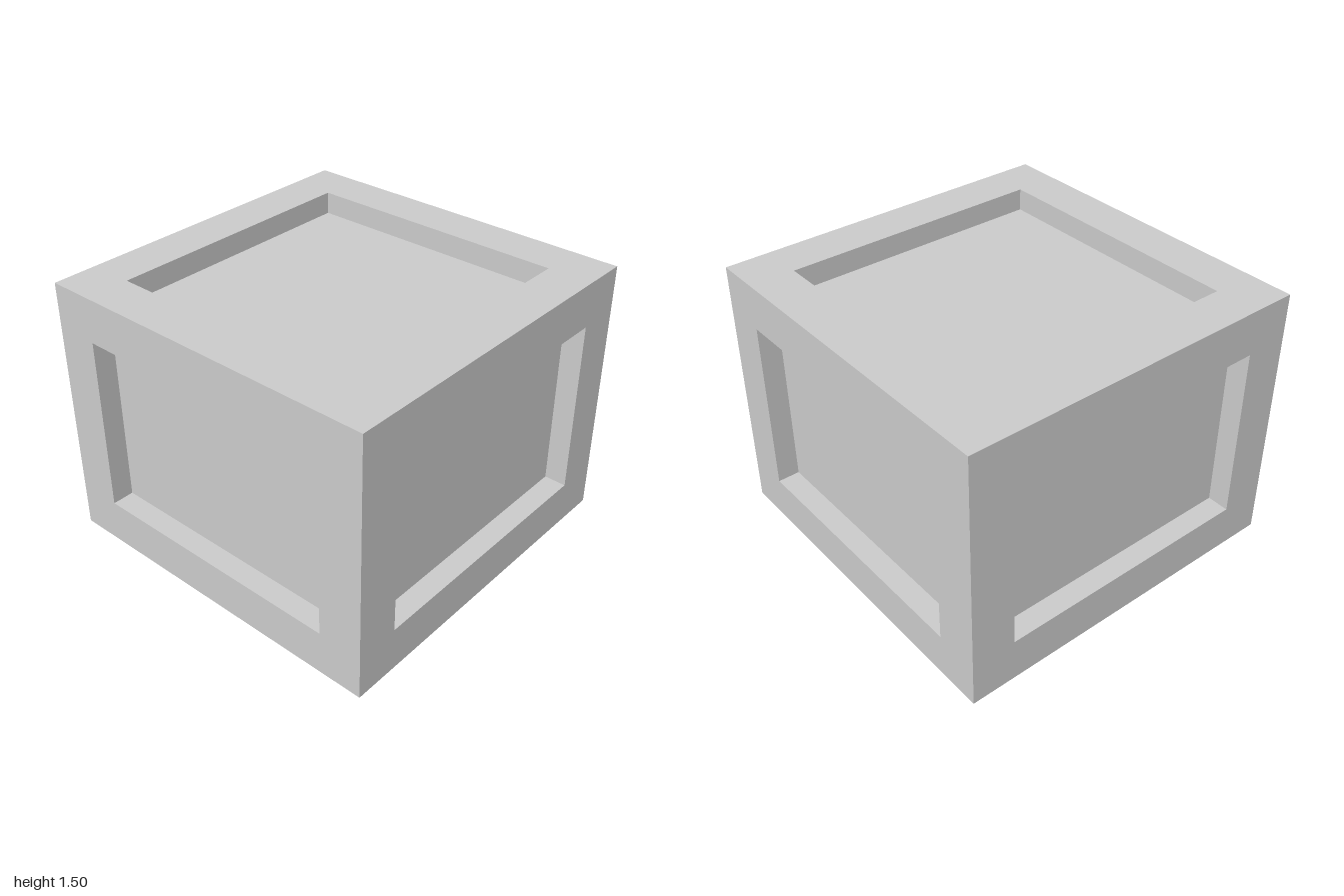
import * as THREE from 'three';
import { mergeGeometries } from 'three/addons/utils/BufferGeometryUtils.js';

const SIZE = 2, HEIGHT = 1.5, BORDER = 0.25, DEPTH = 0.125;
const material = new THREE.MeshStandardMaterial({ color: 0xcccccc, flatShading: true });

function rectangle(path, w, h) {
  return path.setFromPoints([[-1, -1], [1, -1], [1, 1], [-1, 1]]
    .map(([x, y]) => new THREE.Vector2(x * w / 2, y * h / 2)));
}

// One crate side facing +z: flat frame, four recess walls and a sunken panel
function createSide(name, w, h) {
  const side = new THREE.Group();
  side.name = name;
  const iw = w - 2 * BORDER, ih = h - 2 * BORDER;

  const outline = rectangle(new THREE.Shape(), w, h);
  outline.holes.push(rectangle(new THREE.Path(), iw, ih));
  const parts = [new THREE.ShapeGeometry(outline)];
  for (let i = 0; i < 4; i++) {
    const [length, across] = i % 2 ? [ih, iw] : [iw, ih];
    parts.push(new THREE.PlaneGeometry(length, DEPTH)
      .rotateX(-Math.PI / 2)
      .translate(0, -across / 2, -DEPTH / 2)
      .rotateZ(i * Math.PI / 2));
  }
  const frame = new THREE.Mesh(mergeGeometries(parts), material);
  frame.name = name + 'Frame';

  const panel = new THREE.Mesh(new THREE.PlaneGeometry(iw, ih), material);
  panel.name = name + 'Panel';
  panel.position.z = -DEPTH;

  side.add(frame, panel);
  return side;
}

export function createModel() {
  const crate = new THREE.Group();
  crate.name = 'crate';

  // Four upright sides
  ['front', 'left', 'back', 'right'].forEach((name, i) => {
    const side = createSide(name, SIZE, HEIGHT);
    const a = i * Math.PI / 2;
    side.rotation.y = a;
    side.position.set(Math.sin(a) * SIZE / 2, HEIGHT / 2, Math.cos(a) * SIZE / 2);
    crate.add(side);
  });

  // Lid and base
  const top = createSide('top', SIZE, SIZE);
  top.rotation.x = -Math.PI / 2;
  top.position.y = HEIGHT;
  const bottom = createSide('bottom', SIZE, SIZE);
  bottom.rotation.x = Math.PI / 2;
  crate.add(top, bottom);

  return crate;
}
